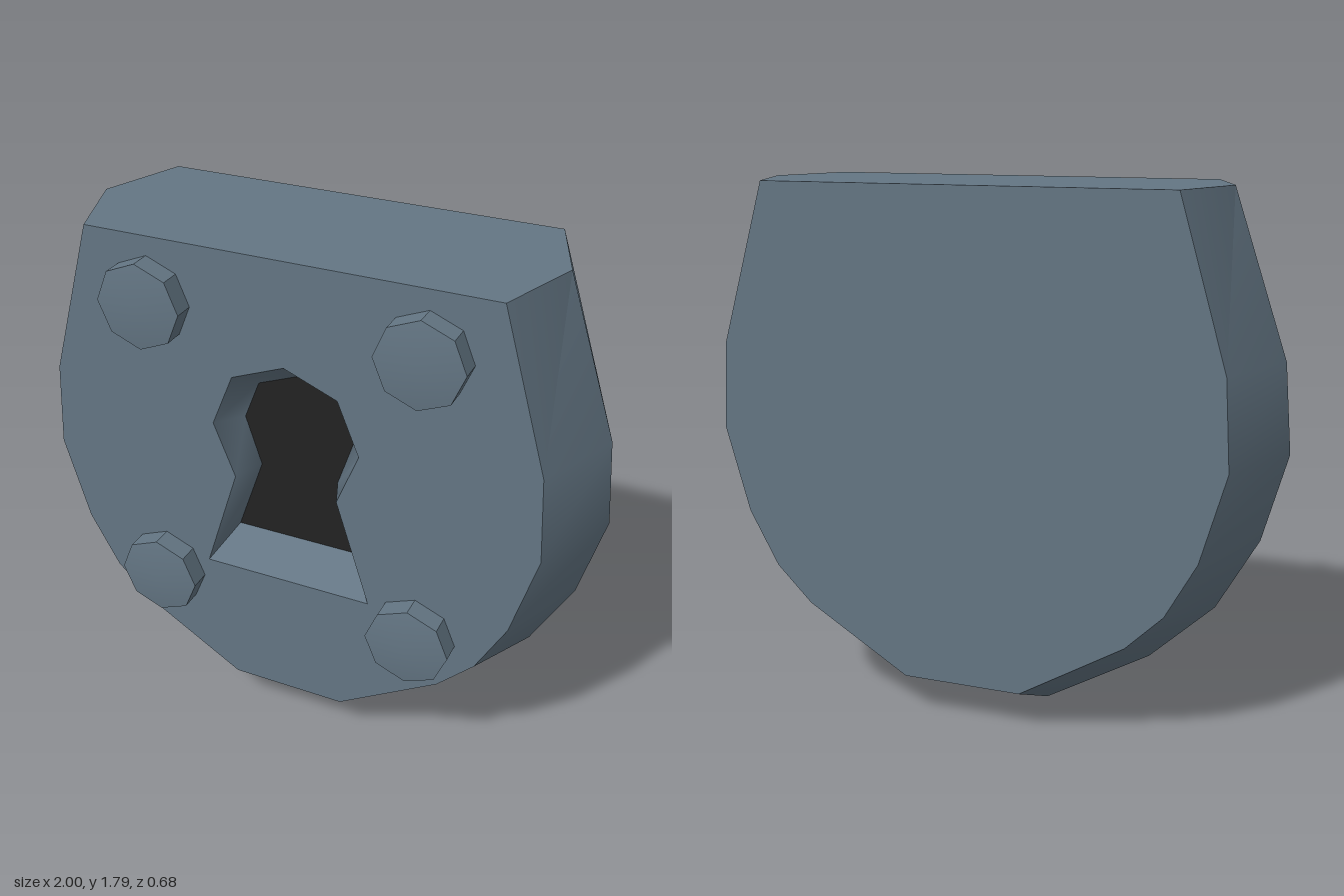
import * as THREE from 'three';
import { toCreasedNormals } from 'three/addons/utils/BufferGeometryUtils.js';

const FRONT = 0.25, MID = -0.045, BACK = -0.34, RECESS = 0.14, CREASE = 0.7;

// Mirror a right-hand profile (top to bottom) into a counter-clockwise ring.
function ring(half) {
  const left = half.filter(p => p[0] > 0).map(([x, y]) => [-x, y]);
  return [...left, ...half.slice().reverse()].map(([x, y]) => new THREE.Vector2(x, y));
}

// Wall through a list of [ring, z] sections, facing outward when z decreases.
function loft(sections) {
  const pos = [];
  for (let s = 0; s + 1 < sections.length; s++) {
    const [a, za] = sections[s], [b, zb] = sections[s + 1];
    for (let i = 0; i < a.length; i++) {
      const j = (i + 1) % a.length;
      const a0 = [a[i].x, a[i].y, za], a1 = [a[j].x, a[j].y, za];
      const b0 = [b[i].x, b[i].y, zb], b1 = [b[j].x, b[j].y, zb];
      pos.push(...a0, ...b0, ...b1, ...a0, ...b1, ...a1);
    }
  }
  const g = new THREE.BufferGeometry();
  g.setAttribute('position', new THREE.Float32BufferAttribute(pos, 3));
  return toCreasedNormals(g, CREASE);
}

export function createModel() {
  const group = new THREE.Group();
  const steel = new THREE.MeshStandardMaterial({ color: 0x647684 });
  steel.name = 'steel blue';
  const dark = new THREE.MeshStandardMaterial({ color: 0x222222 });
  dark.name = 'keyhole black';

  const add = (name, geometry, material) => {
    const mesh = new THREE.Mesh(geometry, material);
    mesh.name = name;
    group.add(mesh);
    return mesh;
  };

  const rim = ring([[0.79, 1.787], [0.973, 1.254], [1, 0.96], [0.922, 0.666],
    [0.786, 0.418], [0.569, 0.211], [0.209, 0]]);
  const face = ring([[0.685, 1.787], [0.843, 1.254], [0.863, 0.96], [0.782, 0.666],
    [0.681, 0.479], [0.558, 0.356], [0.204, 0.14]]);
  const holeFront = ring([[0, 1.434], [0.182, 1.361], [0.257, 1.177], [0.182, 0.99], [0.3, 0.615]]);
  const holeBack = ring([[0, 1.352], [0.143, 1.296], [0.196, 1.16], [0.139, 0.988], [0.23, 0.722]]);

  // Lock body: ridged side wall, front face with keyhole, plain back face
  add('bodySides', loft([[face, FRONT], [rim, MID], [face, BACK]]), steel);
  const frontShape = new THREE.Shape(face);
  frontShape.holes.push(new THREE.Path(holeFront));
  add('frontFace', new THREE.ShapeGeometry(frontShape).translate(0, 0, FRONT), steel);
  add('backFace', new THREE.ShapeGeometry(new THREE.Shape(face)).rotateY(Math.PI).translate(0, 0, BACK), steel);

  // Keyhole: inward-sloping wall and dark floor
  add('keyholeWall', loft([[holeBack, RECESS], [holeFront, FRONT]]), steel);
  add('keyholeFloor', new THREE.ShapeGeometry(new THREE.Shape(holeBack)).translate(0, 0, RECESS), dark);

  // Four octagonal bolts with shallow pointed caps
  const profile = [[0.145, 0], [0.145, 0.072], [0, 0.092]].map(p => new THREE.Vector2(...p));
  const bolt = toCreasedNormals(new THREE.LatheGeometry(profile, 8).rotateX(Math.PI / 2), CREASE);
  for (const x of [-0.466, 0.466]) {
    for (const y of [0.54, 1.577]) add('bolt', bolt, steel).position.set(x, y, FRONT);
  }
  return group;
}
